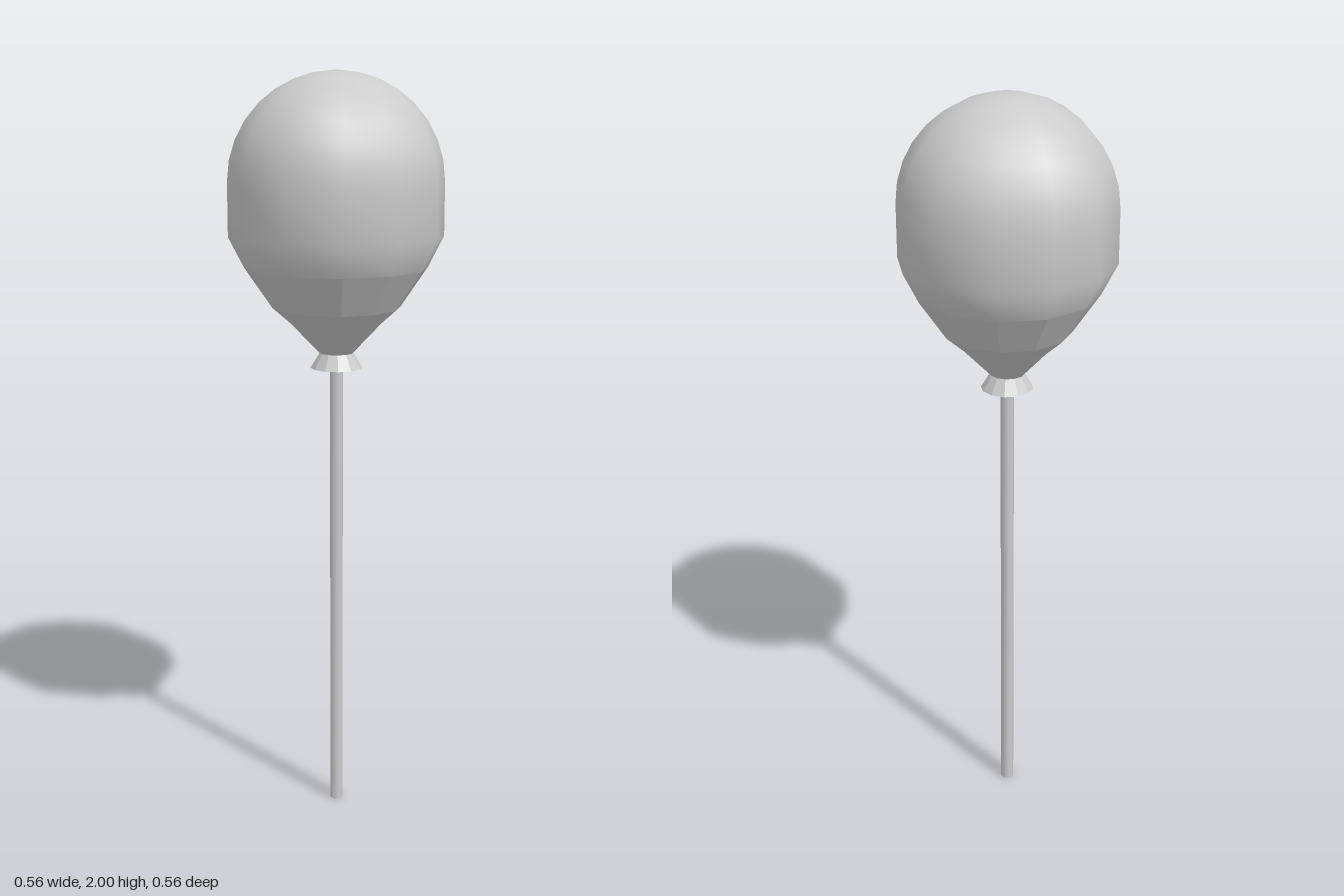
import * as THREE from 'three';
import { mergeVertices } from 'three/addons/utils/BufferGeometryUtils.js';

const SIDES = 12;

// Revolves [radius, height] pairs, listed from bottom to top
function lathe(profile, sides) {
  return new THREE.LatheGeometry(profile.map(([r, y]) => new THREE.Vector2(r, y)), sides);
}

// Welds a lathe so that normals run smoothly over the seam and the pole
function weld(geometry) {
  geometry.deleteAttribute('uv');
  geometry.deleteAttribute('normal');
  const welded = mergeVertices(geometry, 1e-4);
  welded.computeVertexNormals();
  return welded;
}

export function createModel() {
  const model = new THREE.Group();
  const smooth = new THREE.MeshStandardMaterial({ color: 0xcccccc });
  const flat = new THREE.MeshStandardMaterial({ color: 0xcccccc, flatShading: true });

  const add = (name, geometry, material) => {
    const mesh = new THREE.Mesh(geometry, material);
    mesh.name = name;
    model.add(mesh);
  };

  // Smooth upper balloon: tapering side, straight belly, rounded crown
  const radius = 0.281, crownBase = 1.72;
  const upper = [[0.24, 1.5], [radius, 1.58]];
  const steps = 8;
  for (let i = 0; i <= steps; i++) {
    const a = (i / steps) * Math.PI / 2;
    upper.push([i === steps ? 0 : radius * Math.cos(a), crownBase + 0.28 * Math.sin(a)]);
  }
  add('balloonTop', weld(lathe(upper, SIDES)), smooth);

  // Faceted lower balloon narrowing to the neck
  add('balloonNeck', lathe([[0, 1.27], [0.04, 1.27], [0.122, 1.355], [0.168, 1.395], [0.24, 1.5]], SIDES), flat);

  // Flared collar under the neck
  add('collar', lathe([[0, 1.235], [0.069, 1.235], [0.045, 1.275], [0, 1.275]], SIDES), flat);

  // Thin stick
  const stick = new THREE.CylinderGeometry(0.018, 0.018, 1.25, 8);
  stick.translate(0, 0.625, 0);
  add('stick', stick, smooth);

  return model;
}
